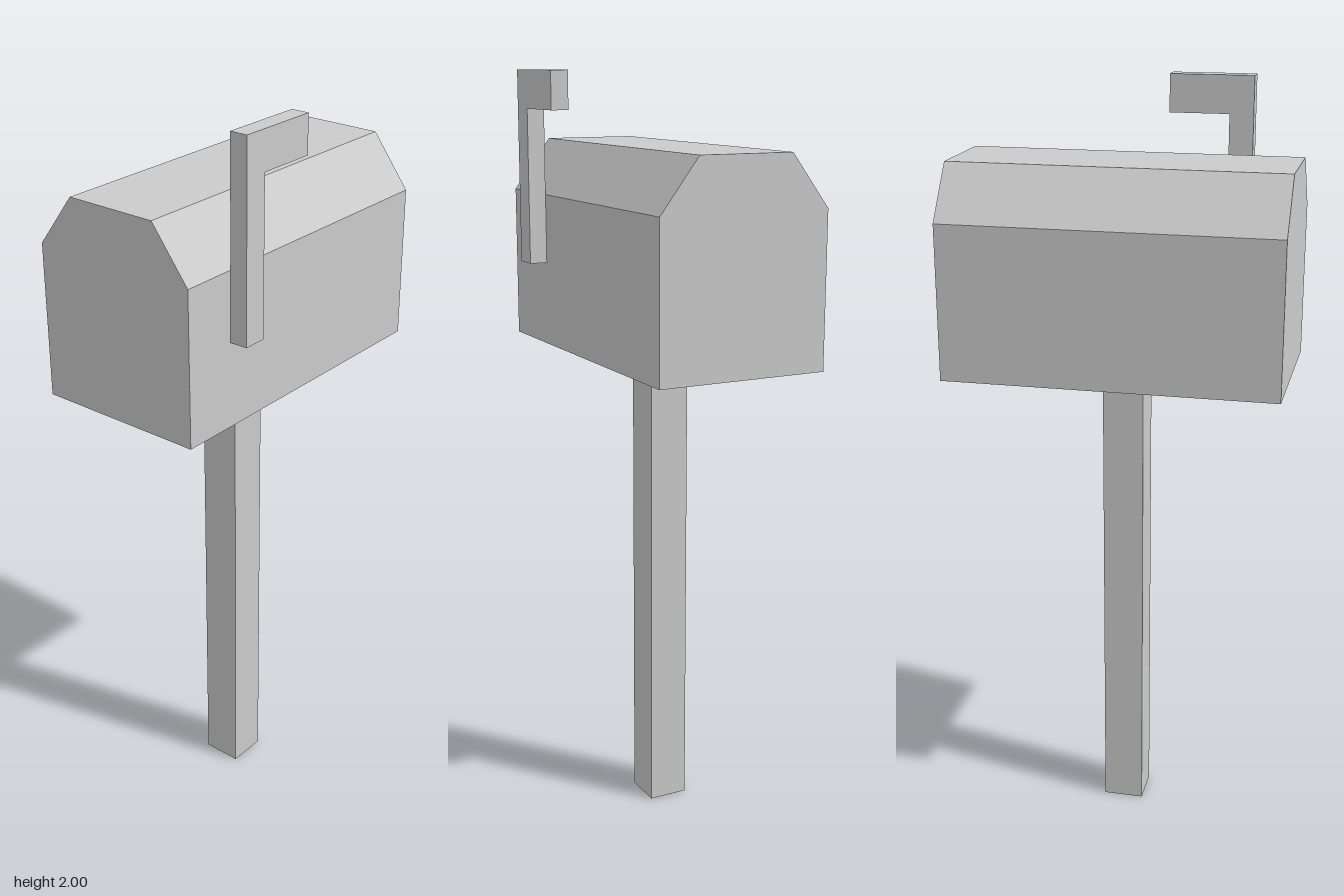
import * as THREE from 'three';

const material = new THREE.MeshStandardMaterial({ color: 0xcccccc, flatShading: true });

// Straight-edged outline extruded along z, starting at z = 0
function prism(name, points, depth) {
  const shape = new THREE.Shape(points.map(([x, y]) => new THREE.Vector2(x, y)));
  const geometry = new THREE.ExtrudeGeometry(shape, { depth, bevelEnabled: false });
  const mesh = new THREE.Mesh(geometry, material);
  mesh.name = name;
  return mesh;
}

export function createModel() {
  const group = new THREE.Group();
  group.name = 'mailbox';
  const centreX = -0.025;

  // Square post
  const postHeight = 1.28;
  const post = new THREE.Mesh(new THREE.BoxGeometry(0.107, postHeight, 0.107), material);
  post.name = 'post';
  post.position.set(centreX, postHeight / 2, 0.003);

  // Box with a chamfered roof, running front to back
  const half = 0.228, roofHalf = 0.125, length = 0.864;
  const box = prism('box', [
    [-half, 1.28], [half, 1.28], [half, 1.68],
    [roofHalf, 1.815], [-roofHalf, 1.815], [-half, 1.68],
  ], length);
  box.position.set(centreX, 0, -length / 2);

  // Raised signal flag on the left wall: outline in (z, y), thickness along x
  const flag = prism('flag', [
    [0.222, 1.5], [0.285, 1.5], [0.285, 2],
    [0.065, 2], [0.065, 1.902], [0.222, 1.902],
  ], 0.047);
  flag.rotation.y = -Math.PI / 2;
  flag.position.x = 0.25;

  group.add(post, box, flag);
  return group;
}
